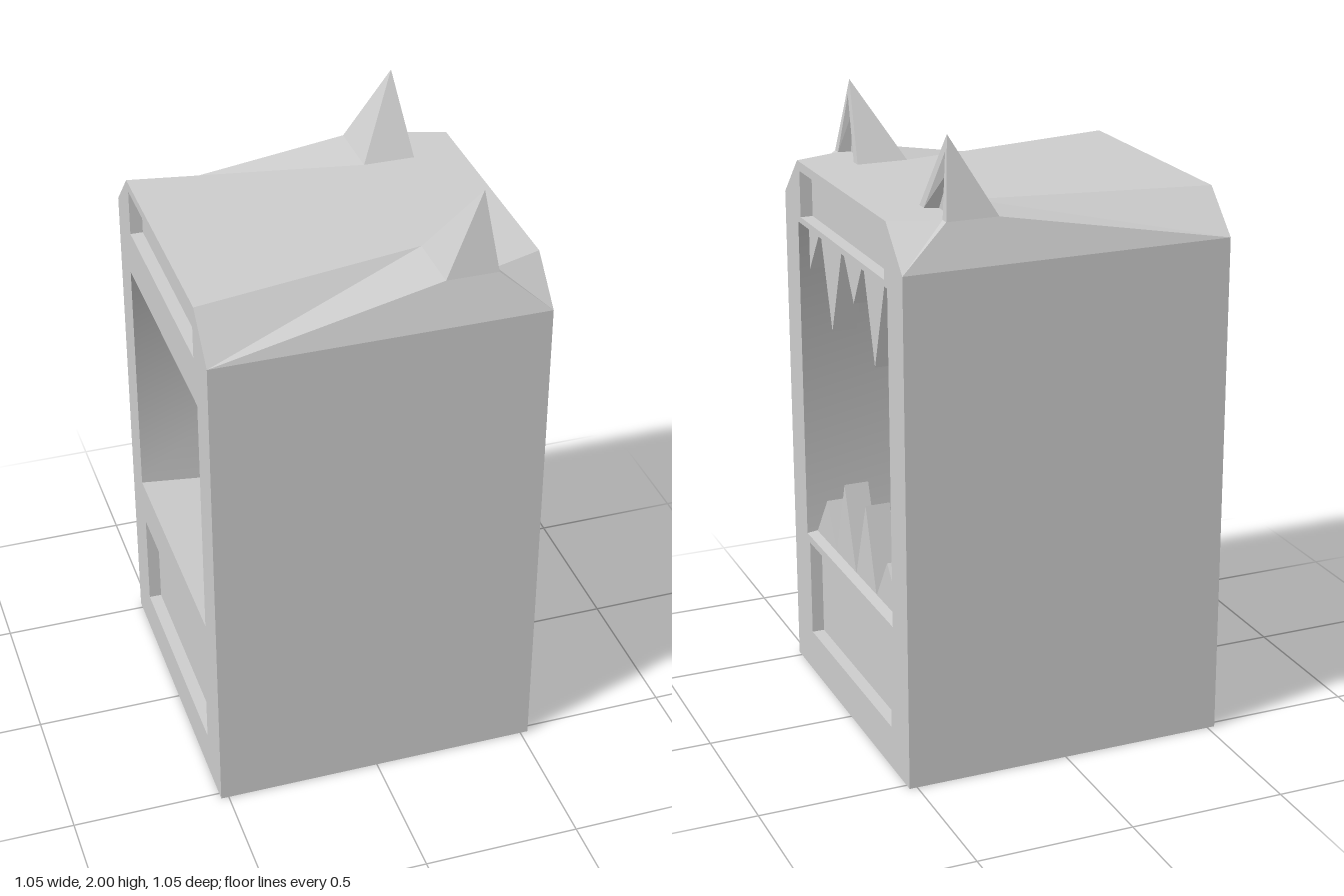
import * as THREE from 'three';

const W = 0.525, TOP = 1.76, EDGE = 1.63;
const material = new THREE.MeshStandardMaterial({ color: 0xcccccc });

// Flat-faced mesh from convex polygons, corners counter-clockwise from outside
function facets(name, polygons) {
  const pos = [];
  for (const p of polygons)
    for (let i = 1; i < p.length - 1; i++) pos.push(...p[0], ...p[i], ...p[i + 1]);
  const g = new THREE.BufferGeometry();
  g.setAttribute('position', new THREE.Float32BufferAttribute(pos, 3));
  g.computeVertexNormals();
  const mesh = new THREE.Mesh(g, material);
  mesh.name = name;
  return mesh;
}

// Polygons mirrored across z, with their winding kept outward
const mirrorZ = (polys) => polys.map((p) => p.map(([x, y, z]) => [x, y, -z]).reverse());

const path = (points, Type = THREE.Shape) => new Type(points.map(([x, y]) => new THREE.Vector2(x, y)));
const rect = (w, y0, y1) => path([[-w, y0], [-w, y1], [w, y1], [w, y0]], THREE.Path);

const PANELS = [['lowerPanel', 0.14, 0.465], ['upperPanel', 1.58, 1.73]];
const PANEL_W = 0.375, PANEL_DEPTH = 0.04, MOUTH_W = 0.4;

// End wall with its mouth opening and two sunken panels, facing +x before turning
function endWall(name, mouthBottom, mouthTop) {
  const group = new THREE.Group();
  group.name = name;
  const shape = path([[-W, 0], [W, 0], [W, EDGE], [0.395, TOP], [-0.395, TOP], [-W, EDGE]]);
  shape.holes.push(rect(MOUTH_W, mouthBottom, mouthTop));
  for (const [, y0, y1] of PANELS) shape.holes.push(rect(PANEL_W, y0, y1));
  const wall = new THREE.Mesh(new THREE.ShapeGeometry(shape).rotateY(Math.PI / 2).translate(W, 0, 0), material);
  wall.name = 'wall';
  group.add(wall);
  for (const [panelName, y0, y1] of PANELS) {
    const ring = (x) => [[x, y0, PANEL_W], [x, y0, -PANEL_W], [x, y1, -PANEL_W], [x, y1, PANEL_W]];
    const outer = ring(W), inner = ring(W - PANEL_DEPTH);
    const polys = [inner];
    for (let i = 0; i < 4; i++) {
      const j = (i + 1) % 4;
      polys.push([outer[i], outer[j], inner[j], inner[i]]);
    }
    group.add(facets(panelName, polys));
  }
  return group;
}

// Triangular prism tooth across the mouth, points given as [z, y]
function tooth(name, points) {
  const g = new THREE.ExtrudeGeometry(path(points.map(([z, y]) => [-z, y])), { depth: 0.08, bevelEnabled: false });
  const mesh = new THREE.Mesh(g.rotateY(Math.PI / 2).translate(0.41, 0, 0), material);
  mesh.name = name;
  return mesh;
}

export function createModel() {
  const model = new THREE.Group();

  // Corner points of one half of the roof, and of the ear standing on it
  const A = [-W, EDGE, W], B = [W, EDGE, W], C = [-W, TOP, 0.395], G = [W, TOP, 0.395];
  const D = [0.205, TOP, 0.475], E = [0.205, TOP, 0.265];
  const F = [0.37, TOP, 0.475], H = [0.37, TOP, 0.265];
  const tip = [0.34, 2, 0.41];
  const P = [0.37, TOP, 0.447], Q = [0.37, TOP, 0.3], T = [0.346, 1.95, 0.41];
  const P2 = [0.33, TOP, 0.437], Q2 = [0.33, TOP, 0.32], T2 = [0.33, 1.9, 0.41];
  const mid = (x) => [x, TOP, 0];

  const side = [[[-W, 0, W], [W, 0, W], B, A]];
  const slope = [[A, B, F, D], [A, D, E], [A, E, C], [P, F, B], [P, B, G]];
  const roof = [
    [mid(-W), C, E, mid(0.205)],
    [mid(0.205), E, H, mid(0.37)],
    [mid(W), mid(0.37), H, Q, P, G],
  ];
  const ear = [
    [D, F, tip], [E, D, tip], [H, E, tip], [F, P, T, tip], [Q, H, tip, T],
    // hollow of the ear
    [P, P2, T2, T], [Q2, Q, T, T2], [P2, Q2, T2], [P, Q, Q2, P2],
  ];
  const parts = { Side: side, RoofSlope: slope, Roof: roof, Ear: ear };
  for (const [name, polys] of Object.entries(parts)) {
    model.add(facets('front' + name, polys));
    model.add(facets('back' + name, mirrorZ(polys)));
  }
  model.add(facets('bottom', [[[-W, 0, -W], [W, 0, -W], [W, 0, W], [-W, 0, W]]]));

  // End walls: large opening on +x, smaller one on -x
  model.add(endWall('mouthWall', 0.49, 1.56));
  const rear = endWall('rearWall', 0.61, 1.43);
  rear.rotation.y = Math.PI;
  model.add(rear);

  // Throat: smooth-shaded walls and ceiling, flat sloping floor
  const ring = (x, y0, y1) => [[x, y0, MOUTH_W], [x, y1, MOUTH_W], [x, y1, -MOUTH_W], [x, y0, -MOUTH_W]];
  const near = ring(W, 0.49, 1.56), far = ring(-W, 0.61, 1.43);
  const throatGeo = new THREE.BufferGeometry();
  throatGeo.setAttribute('position', new THREE.Float32BufferAttribute([...near, ...far].flat(), 3));
  const index = [];
  for (let i = 0; i < 3; i++) index.push(i, i + 4, i + 5, i, i + 5, i + 1);
  throatGeo.setIndex(index);
  throatGeo.computeVertexNormals();
  const throat = new THREE.Mesh(throatGeo, material);
  throat.name = 'throat';
  model.add(throat, facets('throatFloor', [[near[3], far[3], far[0], near[0]]]));

  // Teeth: start z, tip z, end z, tip y
  const lower = [[0.4, 0.29, 0.205, 0.64], [0.205, 0.115, 0.02, 0.76],
    [0.02, -0.08, -0.165, 0.76], [-0.165, -0.265, -0.4, 0.64]];
  const upper = [[0.4, 0.4, 0.29, 1.4], [0.29, 0.195, 0.085, 1.25], [0.085, -0.01, -0.1, 1.4],
    [-0.1, -0.19, -0.29, 1.25], [-0.29, -0.4, -0.4, 1.4]];
  for (const [a, t, b, y] of lower) model.add(tooth('lowerTooth', [[a, 0.49], [b, 0.49], [t, y]]));
  for (const [a, t, b, y] of upper) model.add(tooth('upperTooth', [[a, 1.555], [t, y], [b, 1.555]]));

  return model;
}
